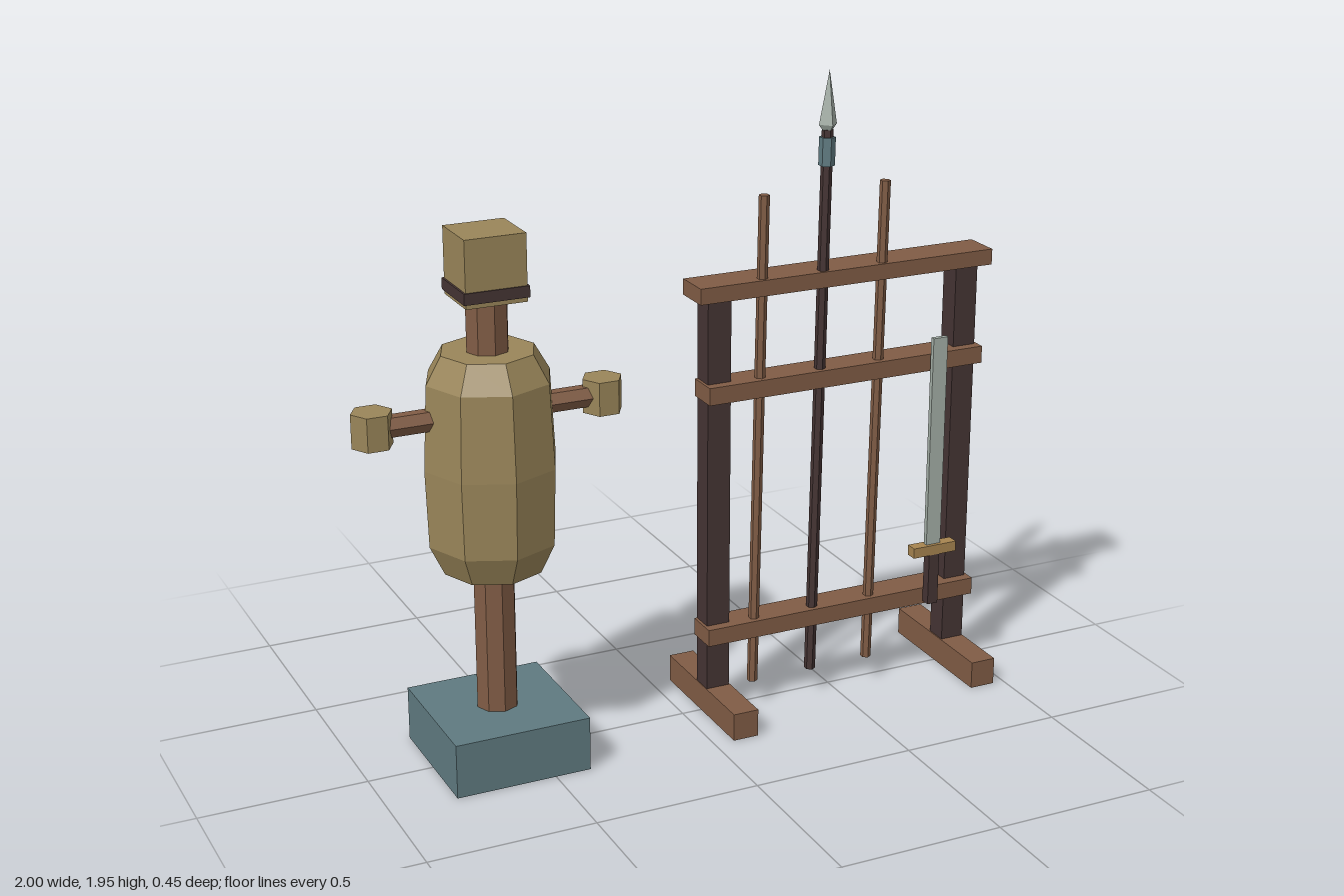
import * as THREE from 'three';

const material = (name, color) => {
  const m = new THREE.MeshStandardMaterial({ color });
  m.name = name;
  m.flatShading = true;
  return m;
};

export function createModel() {
  const stone = material('blue grey stone', 0x5f7a80);
  const wood = material('brown wood', 0x805c45);
  const dark = material('dark wood', 0x453433);
  const straw = material('straw sacking', 0x998559);
  const steel = material('pale steel', 0xa3aea6);
  const brass = material('brass', 0xa68450);

  const model = new THREE.Group();
  model.name = 'trainingYard';
  const group = (name, x = 0, y = 0, z = 0) => {
    const g = new THREE.Group();
    g.name = name;
    g.position.set(x, y, z);
    model.add(g);
    return g;
  };
  const add = (parent, name, geometry, mat, x, y, z) => {
    const mesh = new THREE.Mesh(geometry, mat);
    mesh.name = name;
    mesh.position.set(x, y, z);
    parent.add(mesh);
    return mesh;
  };
  // Box given by its width, depth and vertical span
  const box = (parent, name, mat, w, d, y0, y1, x = 0, z = 0) =>
    add(parent, name, new THREE.BoxGeometry(w, y1 - y0, d), mat, x, (y0 + y1) / 2, z);
  // Upright prism given by its radius and vertical span
  const rod = (parent, name, mat, r, sides, y0, y1, x = 0, z = 0) =>
    add(parent, name, new THREE.CylinderGeometry(r, r, y1 - y0, sides), mat, x, (y0 + y1) / 2, z);
  const lathe = (points, sides) =>
    new THREE.LatheGeometry(points.map(([r, y]) => new THREE.Vector2(r, y)), sides);

  // Practice dummy
  const dummy = group('practiceDummy', -0.597);
  box(dummy, 'base', stone, 0.41, 0.41, 0, 0.165);
  rod(dummy, 'post', wood, 0.062, 8, 0.16, 1.42);
  const torso = [[0, 0.6], [0.147, 0.6], [0.19, 0.69], [0.197, 0.92], [0.184, 1.17], [0.138, 1.25], [0, 1.25]];
  add(dummy, 'torso', lathe(torso, 8), straw, 0, 0, 0);
  add(dummy, 'arms', new THREE.CylinderGeometry(0.033, 0.033, 0.74, 6), wood, 0, 1.07, 0)
    .rotation.z = Math.PI / 2;
  for (const side of [-1, 1]) {
    const hand = rod(dummy, side > 0 ? 'leftHand' : 'rightHand', straw, 0.06, 6, 1.02, 1.12, side * 0.343);
    hand.rotation.y = Math.PI / 6;
  }
  box(dummy, 'head', straw, 0.18, 0.168, 1.4, 1.595);
  box(dummy, 'headBand', dark, 0.192, 0.176, 1.413, 1.446);

  // Weapon rack
  const rack = group('weaponRack', 0.513);
  for (const side of [-1, 1]) {
    box(rack, 'rackPost', dark, 0.074, 0.07, 0.05, 1.33, side * 0.412);
    box(rack, 'rackFoot', wood, 0.08, 0.45, 0, 0.085, side * 0.411);
  }
  box(rack, 'topBeam', wood, 0.968, 0.117, 1.31, 1.358);
  for (const y of [0.24, 1.005]) box(rack, 'rail', wood, 0.916, 0.1, y, y + 0.053, 0, 0.016);

  // Leaning staffs
  const lean = -0.0148;
  for (const x of [0.217, 0.612]) {
    const staff = group('staff', x, 0.085, 0.036);
    rod(staff, 'staffShaft', wood, 0.016, 6, 0, 1.52);
    staff.rotation.z = lean;
  }

  // Leaning spear
  const spear = group('spear', 0.415, 0.085, 0.036);
  rod(spear, 'spearShaft', dark, 0.017, 6, 0, 1.69);
  rod(spear, 'spearSocket', stone, 0.024, 6, 1.585, 1.668);
  add(spear, 'spearTip', lathe([[0, 1.675], [0.012, 1.682], [0.029, 1.705], [0, 1.862]], 4), steel, 0, 0, 0);
  spear.rotation.z = lean;

  // Hanging sword
  const sword = group('sword', 0.81, 0, 0.083);
  box(sword, 'blade', steel, 0.049, 0.015, 0.44, 1.114);
  box(sword, 'guard', brass, 0.148, 0.037, 0.415, 0.447);
  box(sword, 'grip', dark, 0.035, 0.031, 0.25, 0.42);

  return model;
}
